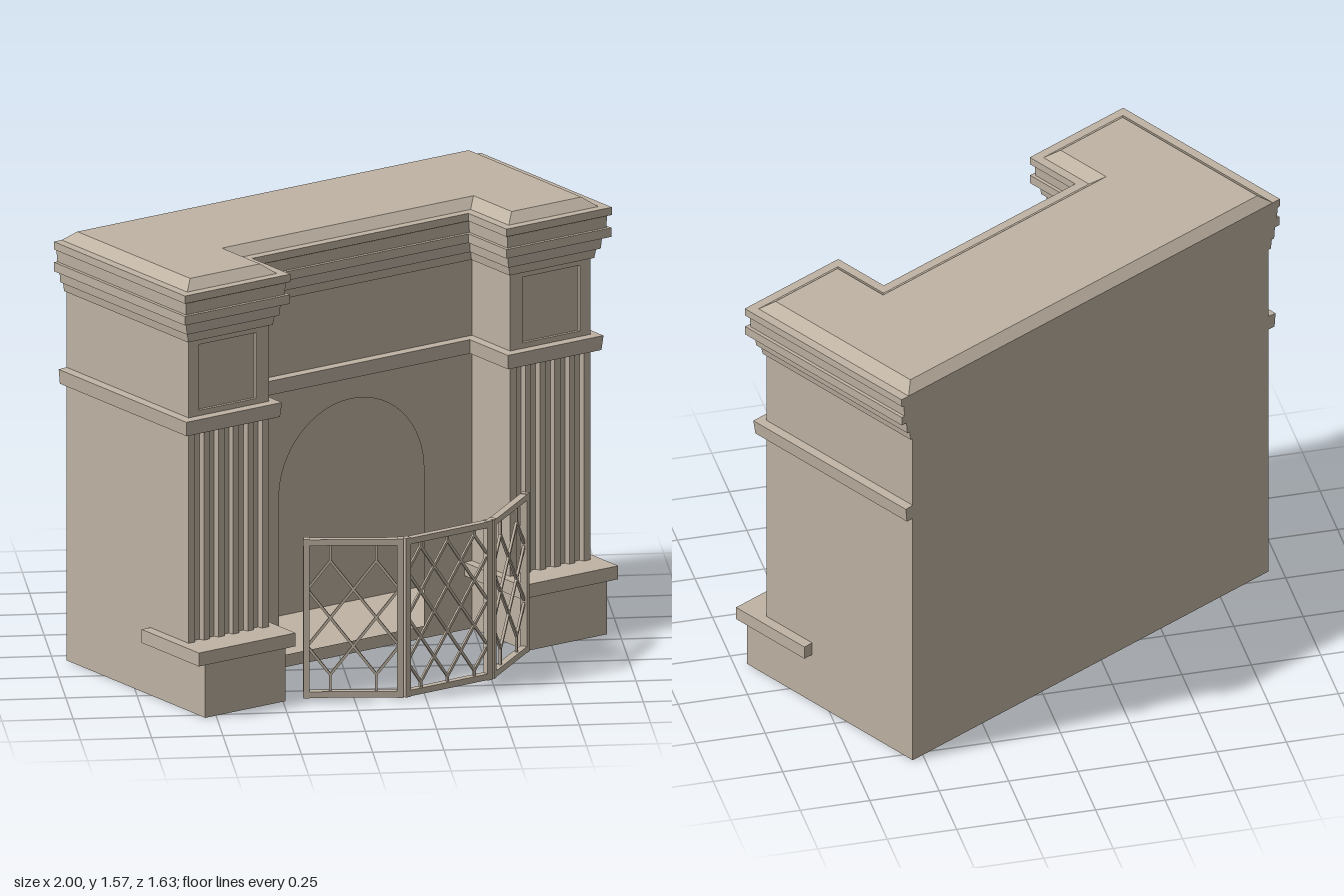
import * as THREE from 'three';

const stone = new THREE.MeshStandardMaterial({ color: 0xbfb3a3, side: THREE.DoubleSide });
stone.name = 'warm stone';

// Main plan dimensions
const OUTER = 0.859, INNER = 0.516, FRONT = 0.315, WALL = 0.085, BACK = -0.423;

function add(parent, name, geometry, x = 0, y = 0, z = 0) {
  const mesh = new THREE.Mesh(geometry, stone);
  mesh.name = name;
  mesh.position.set(x, y, z);
  parent.add(mesh);
  return mesh;
}

// Box given by its limits
function block(parent, name, x0, x1, y0, y1, z0, z1) {
  return add(parent, name, new THREE.BoxGeometry(x1 - x0, y1 - y0, z1 - z0),
    (x0 + x1) / 2, (y0 + y1) / 2, (z0 + z1) / 2);
}

// U-shaped plan, grown outward by o; the back stays flush
function plan(o, back = BACK) {
  const a = OUTER + o, i = INNER - o, f = FRONT + o, w = WALL + o;
  return [[-a, back], [-a, f], [-i, f], [-i, w], [i, w], [i, f], [a, f], [a, back]];
}

// Flat-faced walls between plan outlines stacked at given heights
function loft(levels, closed = true) {
  const pos = [];
  for (let k = 0; k + 1 < levels.length; k++) {
    const [y0, r0] = levels[k], [y1, r1] = levels[k + 1];
    const n = r0.length;
    for (let j = 0; j < (closed ? n : n - 1); j++) {
      const m = (j + 1) % n;
      const a = [r0[j][0], y0, r0[j][1]], b = [r0[m][0], y0, r0[m][1]];
      const c = [r1[m][0], y1, r1[m][1]], d = [r1[j][0], y1, r1[j][1]];
      pos.push(...a, ...b, ...c, ...a, ...c, ...d);
    }
  }
  const g = new THREE.BufferGeometry();
  g.setAttribute('position', new THREE.Float32BufferAttribute(pos, 3));
  g.computeVertexNormals();
  return g;
}

const planShape = (pts) => new THREE.Shape(pts.map(([x, z]) => new THREE.Vector2(x, -z)));

function rectPath(Type, x0, x1, y0, y1) {
  return new Type([[x0, y0], [x1, y0], [x1, y1], [x0, y1]].map((p) => new THREE.Vector2(...p)));
}

// Hollow chimney breast with an arched opening
function buildBody(parent) {
  const ring = [[OUTER, WALL], [OUTER, BACK], [-OUTER, BACK], [-OUTER, WALL]];
  add(parent, 'chimneyBreast', loft([[0, ring], [1.36, ring]], false));
  add(parent, 'hearthFloor', new THREE.ShapeGeometry(planShape(ring)).rotateX(-Math.PI / 2));

  const wall = rectPath(THREE.Shape, -OUTER, OUTER, 0, 1.36);
  const arch = new THREE.Path();
  arch.moveTo(-0.31, 0.045);
  arch.lineTo(0.31, 0.045);
  arch.lineTo(0.31, 0.62);
  arch.absarc(0, 0.62, 0.31, 0, Math.PI, false);
  arch.lineTo(-0.31, 0.045);
  wall.holes.push(arch);
  add(parent, 'archedWall', new THREE.ShapeGeometry(wall, 24), 0, 0, WALL);
}

// Pedestal, ledge, fluted shaft and panelled block, for side = -1 or 1
function buildPilaster(parent, side) {
  const g = new THREE.Group();
  g.name = side > 0 ? 'leftPilaster' : 'rightPilaster';
  parent.add(g);
  const span = (a, b) => (side > 0 ? [a, b] : [-b, -a]);

  block(g, 'pedestal', ...span(INNER, OUTER), 0, 0.2, WALL, 0.415);
  block(g, 'ledge', ...span(0.483, 0.897), 0.198, 0.247, WALL, 0.43);

  // Shaft plan with five flutes cut in its front
  const [x0, x1] = span(INNER, OUTER);
  const pts = [[x0, WALL], [x0, FRONT]];
  const flutes = 5, pitch = (x1 - x0 - 0.03) / flutes;
  for (let i = 0; i < flutes; i++) {
    const c = x0 + 0.015 + pitch * (i + 0.5);
    pts.push([c - 0.019, FRONT], [c - 0.013, FRONT - 0.018], [c + 0.013, FRONT - 0.018], [c + 0.019, FRONT]);
  }
  pts.push([x1, FRONT], [x1, WALL]);
  const shaft = new THREE.ExtrudeGeometry(planShape(pts), { depth: 0.78, bevelEnabled: false });
  add(g, 'flutedShaft', shaft.rotateX(-Math.PI / 2), 0, 0.245, 0);

  // Upper block with a sunk panel
  block(g, 'upperBlock', x0, x1, 1.02, 1.36, WALL, FRONT - 0.012);
  const face = rectPath(THREE.Shape, x0, x1, 1.02, 1.36);
  face.holes.push(rectPath(THREE.Path, ...span(0.57, 0.815), 1.09, 1.33));
  add(g, 'panelFrame', new THREE.ExtrudeGeometry(face, { depth: 0.012, bevelEnabled: false }), 0, 0, FRONT - 0.012);
}

// String course, stepped cornice and sloped cap
function buildMouldings(parent) {
  const course = [[1.015, 0], [1.015, 0.028], [1.068, 0.033], [1.07, 0]];
  add(parent, 'stringCourse', loft(course.map(([y, o]) => [y, plan(o)])));

  const steps = [[1.35, 0], [1.35, 0.01], [1.385, 0.015], [1.385, 0.026], [1.43, 0.03], [1.43, 0.053],
    [1.463, 0.053], [1.463, 0.04], [1.505, 0.042], [1.51, 0.054], [1.538, 0.054], [1.538, 0.02]];
  const levels = steps.map(([y, o]) => [y, plan(o)]);
  const top = plan(-0.022, BACK + 0.035);
  levels.push([1.57, top]);
  add(parent, 'cornice', loft(levels));
  add(parent, 'capTop', new THREE.ShapeGeometry(planShape(top)).rotateX(-Math.PI / 2), 0, 1.57, 0);
}

// Square bar between two points of a screen panel
function bar(parent, name, x0, y0, x1, y1, t, depth) {
  const g = new THREE.BoxGeometry(Math.hypot(x1 - x0, y1 - y0), t, depth);
  const m = add(parent, name, g, (x0 + x1) / 2, (y0 + y1) / 2, 0);
  m.rotation.z = Math.atan2(y1 - y0, x1 - x0);
}

// Screen panel: frame plus diamond lattice
function buildPanel(parent, [ax, az], [bx, bz], cols, rows, stub) {
  const g = new THREE.Group();
  g.name = 'screenPanel';
  g.position.set(ax, 0, az);
  g.rotation.y = -Math.atan2(bz - az, bx - ax);
  parent.add(g);
  const W = Math.hypot(bx - ax, bz - az), lo = 0.025, hi = 0.58;
  for (const y of [lo, hi]) bar(g, 'rail', 0, y, W, y, 0.022, 0.026);
  for (const x of [0.012, W - 0.012]) bar(g, 'post', x, 0.012, x, 0.593, 0.022, 0.026);
  const w = (W - 0.03) / cols, y0 = lo + stub, h = (hi - lo - 2 * stub) / rows;
  for (let i = 0; i < cols; i++) {
    const l = 0.015 + i * w, c = l + w / 2, r = l + w;
    for (let j = 0; j < rows; j++) {
      const b = y0 + j * h, m = b + h / 2, t = b + h;
      const d = [[c, b], [r, m], [c, t], [l, m]];
      d.forEach((p, k) => bar(g, 'lattice', ...p, ...d[(k + 1) % 4], 0.009, 0.009));
    }
    if (stub > 0) {
      bar(g, 'latticeStub', c, lo, c, y0, 0.009, 0.009);
      bar(g, 'latticeStub', c, hi - stub, c, hi, 0.009, 0.009);
    }
  }
}

export function createModel() {
  const model = new THREE.Group();
  model.name = 'fireplace';

  // The surround stands turned in its corner
  const surround = new THREE.Group();
  surround.name = 'surround';
  surround.rotation.y = THREE.MathUtils.degToRad(29.5);
  surround.position.x = 0.003;
  model.add(surround);
  buildBody(surround);
  for (const side of [-1, 1]) buildPilaster(surround, side);
  buildMouldings(surround);

  // Folding fire screen
  const screen = new THREE.Group();
  screen.name = 'fireScreen';
  model.add(screen);
  const folds = [[-0.18, 0.615], [0.17, 0.645], [0.495, 0.46], [0.65, 0.145]];
  buildPanel(screen, folds[0], folds[1], 2, 2, 0.07);
  buildPanel(screen, folds[1], folds[2], 3, 3, 0.03);
  buildPanel(screen, folds[2], folds[3], 2, 2, 0.07);
  return model;
}
